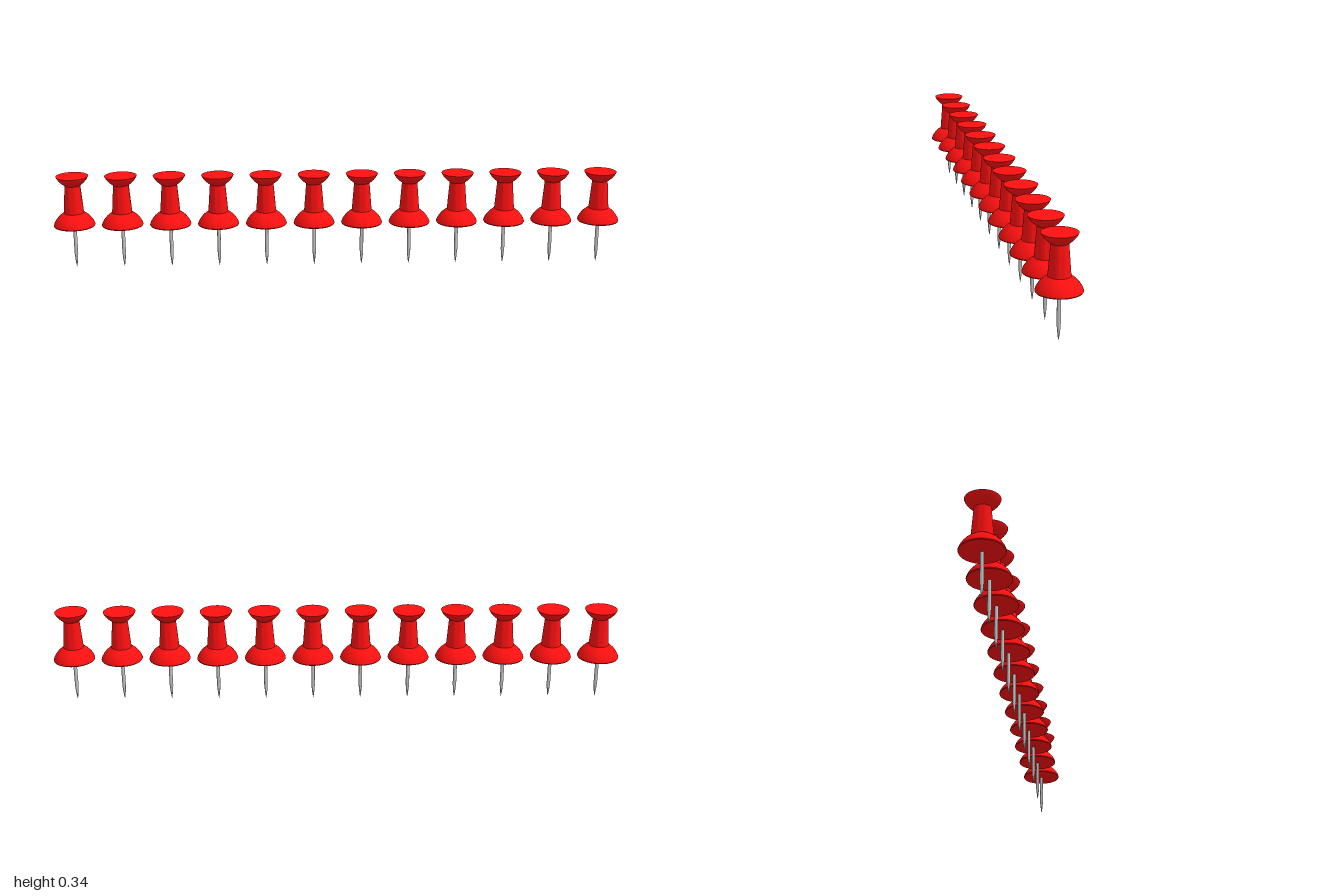
import * as THREE from 'three';
import { toCreasedNormals } from 'three/addons/utils/BufferGeometryUtils.js';

const COUNT = 12;
const SPACING = 0.1687;

// Revolves a list of [radius, height] points, keeping sharp rims crisp
function turned(points, segments) {
  const profile = points.map(([r, y]) => new THREE.Vector2(r, y));
  return toCreasedNormals(new THREE.LatheGeometry(profile, segments), 0.6);
}

export function createModel() {
  const red = new THREE.MeshStandardMaterial({ color: 0xff1010 });
  const grey = new THREE.MeshStandardMaterial({ color: 0xcccccc });

  // Handle: flat underside, domed skirt, tapered grip, flared head, flat top
  const handleGeometry = turned([
    [0, 0.153], [0.034, 0.153], [0.071, 0.155], [0.0723, 0.158],
    [0.069, 0.167], [0.063, 0.177], [0.055, 0.187], [0.045, 0.196], [0.035, 0.203],
    [0.031, 0.253], [0.027, 0.302],
    [0.034, 0.307], [0.042, 0.314], [0.049, 0.322], [0.054, 0.330], [0.0563, 0.335],
    [0, 0.335],
  ], 40);

  // Needle: straight shaft drawn to a point
  const needleGeometry = turned([
    [0, 0], [0.0022, 0.012], [0.0045, 0.03], [0.0063, 0.052], [0.0063, 0.156],
  ], 16);

  // Row of identical pins
  const model = new THREE.Group();
  model.name = 'pushPinRow';
  for (let i = 0; i < COUNT; i++) {
    const pin = new THREE.Group();
    pin.name = `pushPin${i + 1}`;
    const handle = new THREE.Mesh(handleGeometry, red);
    handle.name = 'handle';
    const needle = new THREE.Mesh(needleGeometry, grey);
    needle.name = 'needle';
    pin.add(handle, needle);
    pin.position.x = (i - (COUNT - 1) / 2) * SPACING;
    model.add(pin);
  }
  return model;
}
